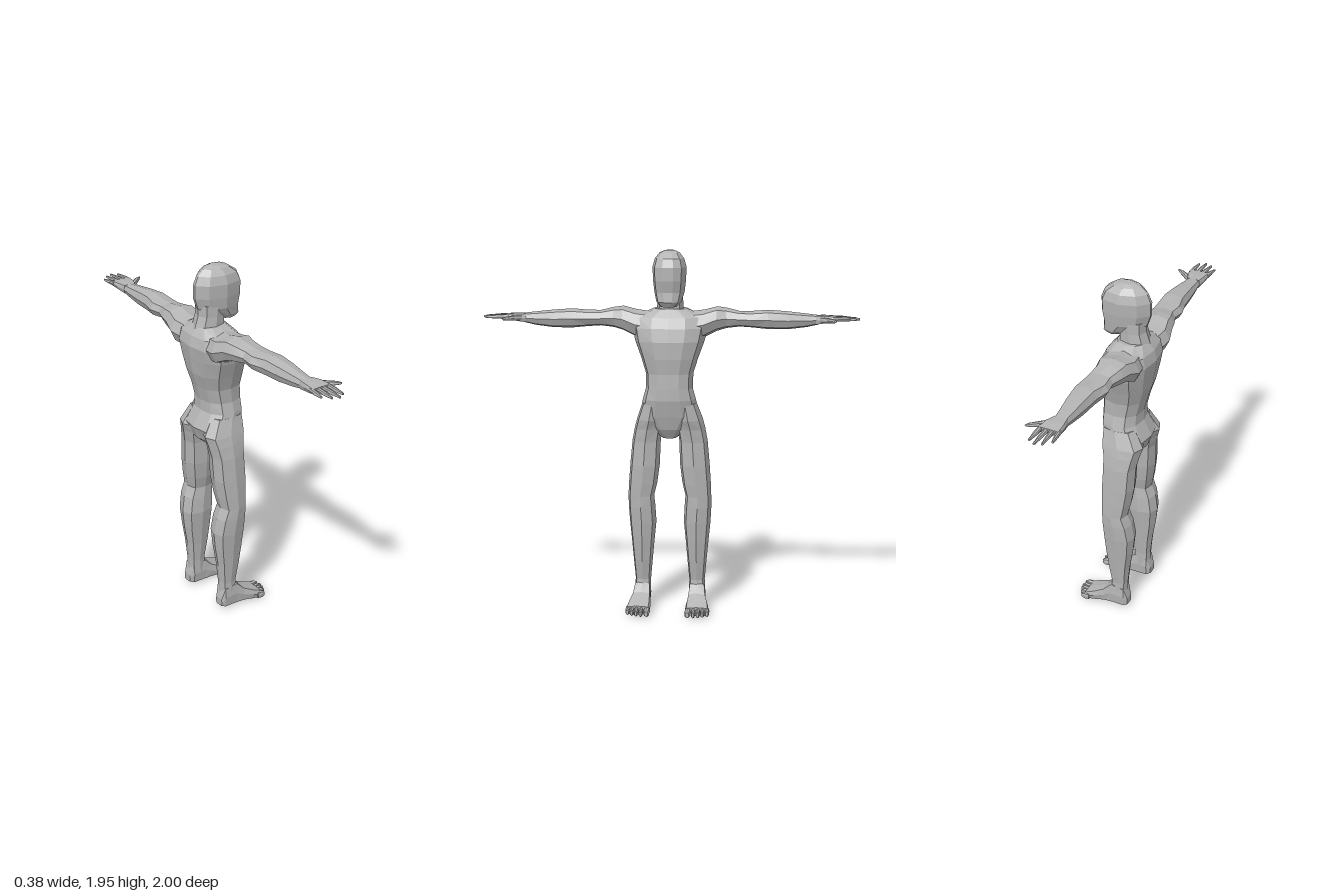
import * as THREE from 'three';

// Eight-sided outline in a unit box; smaller e gives squarer corners.
function outline(e) {
  const pts = [];
  const bend = (v) => (Math.abs(v) < 1e-6 ? 0 : Math.sign(v) * Math.abs(v) ** e);
  for (let i = 0; i < 8; i++) {
    const a = (i * Math.PI) / 4;
    pts.push([bend(Math.cos(a)), bend(Math.sin(a))]);
  }
  return pts;
}
const ROUND = outline(0.8);
const SQUARE = outline(0.4);
const TORSO = [[1, 0], [0.97, 0.45], [0.72, 0.85], [0.1, 1], [-0.5, 0.92], [-0.88, 0.55],
  [-1, 0], [-0.88, -0.55], [-0.5, -0.92], [0.1, -1], [0.72, -0.85], [0.97, -0.45]];
// Blunt at the face, pointed at the back of the skull
const HEAD = [[1, 0.32], [0.82, 0.78], [0.1, 1], [-0.6, 0.7], [-1, 0.1],
  [-1, -0.1], [-0.6, -0.7], [0.1, -1], [0.82, -0.78], [1, -0.32]];

// Maps (distance along the axis, u, v) to x, y, z.
const AXES = {
  x: (t, u, v) => [t, u, v],
  y: (t, u, v) => [u, t, v],
  z: (t, u, v) => [u, v, t],
};

// Skins rings of [t, uMin, uMax, vMin, vMax] and closes both ends.
function loft(axis, rings, shape = ROUND, side = 1) {
  const n = shape.length;
  const pos = [];
  let idx = [];
  for (const [t, u0, u1, v0, v1] of rings) {
    for (const [a, b] of shape) {
      const p = AXES[axis](t, (u0 + u1) / 2 + (a * (u1 - u0)) / 2, (v0 + v1) / 2 + (b * (v1 - v0)) / 2);
      pos.push(p[0], p[1], p[2] * side);
    }
  }
  for (let r = 0; r < rings.length - 1; r++) {
    for (let i = 0; i < n; i++) {
      const a = r * n + i;
      const b = r * n + ((i + 1) % n);
      idx.push(a, b, b + n, a, b + n, a + n);
    }
  }
  const last = (rings.length - 1) * n;
  for (let i = 1; i < n - 1; i++) {
    idx.push(0, i + 1, i, last, last + i, last + i + 1);
  }
  // Turn the faces outward if the enclosed volume is negative
  const P = (i) => new THREE.Vector3().fromArray(pos, i * 3);
  let volume = 0;
  for (let i = 0; i < idx.length; i += 3) {
    volume += P(idx[i]).dot(P(idx[i + 1]).cross(P(idx[i + 2])));
  }
  if (volume < 0) idx = idx.reverse();
  const geo = new THREE.BufferGeometry();
  geo.setAttribute('position', new THREE.Float32BufferAttribute(pos, 3));
  geo.setIndex(idx);
  geo.computeVertexNormals();
  return geo;
}

// Rings given by a half width, symmetric about z = 0
const even = (rings) => rings.map(([y, x0, x1, w]) => [y, x0, x1, -w, w]);

export function createModel() {
  const model = new THREE.Group();
  model.name = 'humanFigure';
  const skin = new THREE.MeshStandardMaterial({ color: 0xb4b4b4, flatShading: true });
  skin.name = 'plain grey';
  const add = (parent, name, geo) => {
    const mesh = new THREE.Mesh(geo, skin);
    mesh.name = name;
    parent.add(mesh);
  };

  add(model, 'torso', loft('y', even([
    [0.95, -0.08, 0.02, 0.04], [1.0, -0.14, 0.05, 0.1], [1.07, -0.165, 0.07, 0.16],
    [1.16, -0.12, 0.09, 0.142], [1.22, -0.12, 0.09, 0.125], [1.3, -0.14, 0.087, 0.127],
    [1.38, -0.165, 0.095, 0.152], [1.47, -0.18, 0.095, 0.185], [1.54, -0.19, 0.08, 0.2],
    [1.595, -0.175, 0.055, 0.19], [1.64, -0.14, 0.015, 0.09],
  ]), TORSO));

  add(model, 'neck', loft('y', even([
    [1.57, -0.175, 0.04, 0.1], [1.63, -0.15, 0.012, 0.072],
    [1.69, -0.13, 0.01, 0.068], [1.75, -0.13, 0.02, 0.068],
  ])));

  add(model, 'head', loft('y', even([
    [1.655, 0.0, 0.085, 0.042], [1.68, -0.06, 0.1, 0.066], [1.73, -0.135, 0.095, 0.08],
    [1.79, -0.155, 0.107, 0.087], [1.86, -0.155, 0.107, 0.09], [1.905, -0.135, 0.088, 0.077],
    [1.935, -0.1, 0.045, 0.053], [1.947, -0.06, 0.0, 0.025],
  ]), HEAD));

  for (const side of [1, -1]) {
    const label = side > 0 ? 'left' : 'right';

    // Arm stretched out sideways, with hand
    const arm = new THREE.Group();
    arm.name = label + 'Arm';
    model.add(arm);
    add(arm, 'armLimb', loft('z', [
      [0.08, -0.16, 0.05, 1.47, 1.62], [0.18, -0.178, 0.042, 1.485, 1.632],
      [0.25, -0.16, 0.028, 1.52, 1.65], [0.3, -0.15, 0.012, 1.535, 1.643],
      [0.37, -0.125, 0.015, 1.545, 1.627], [0.44, -0.135, 0.02, 1.54, 1.628],
      [0.52, -0.115, 0.02, 1.533, 1.635], [0.62, -0.105, 0.01, 1.533, 1.628],
      [0.72, -0.095, -0.005, 1.545, 1.617], [0.78, -0.09, -0.012, 1.558, 1.61],
    ], ROUND, side));
    add(arm, 'palm', loft('z', [
      [0.77, -0.09, -0.012, 1.558, 1.61], [0.82, -0.1, 0.008, 1.568, 1.61],
      [0.88, -0.104, 0.016, 1.576, 1.605],
    ], SQUARE, side));
    const fingers = [[-0.091, -0.103, 0.95], [-0.06, -0.068, 0.985], [-0.03, -0.032, 1.0], [0.003, 0.003, 0.98]];
    for (const [root, tip, end] of fingers) {
      const mid = (root + tip) / 2;
      add(arm, 'finger', loft('z', [
        [0.86, root - 0.013, root + 0.013, 1.58, 1.604],
        [(0.86 + end) / 2, mid - 0.011, mid + 0.011, 1.581, 1.603],
        [end, tip - 0.005, tip + 0.005, 1.585, 1.597],
      ], ROUND, side));
    }
    add(arm, 'thumb', loft('z', [
      [0.785, -0.05, -0.008, 1.57, 1.6], [0.83, -0.005, 0.04, 1.572, 1.6],
      [0.86, 0.04, 0.073, 1.576, 1.598], [0.875, 0.072, 0.085, 1.58, 1.592],
    ], ROUND, side));

    // Leg with foot
    const leg = new THREE.Group();
    leg.name = label + 'Leg';
    model.add(leg);
    add(leg, 'legLimb', loft('y', [
      [1.14, -0.11, 0.07, 0.03, 0.145], [1.05, -0.165, 0.07, 0.03, 0.177],
      [1.0, -0.15, 0.055, 0.04, 0.19], [0.93, -0.135, 0.047, 0.05, 0.203],
      [0.8, -0.13, 0.05, 0.055, 0.215], [0.7, -0.115, 0.045, 0.068, 0.222],
      [0.63, -0.1, 0.04, 0.085, 0.225], [0.57, -0.125, 0.04, 0.08, 0.225],
      [0.48, -0.14, 0.035, 0.075, 0.22], [0.38, -0.13, 0.025, 0.085, 0.21],
      [0.27, -0.112, 0.01, 0.095, 0.2], [0.16, -0.1, -0.01, 0.105, 0.19],
      [0.07, -0.1, 0.0, 0.105, 0.193],
    ], outline(0.7), side));
    add(leg, 'foot', loft('x', [
      [-0.11, 0.015, 0.06, 0.125, 0.18], [-0.09, 0.005, 0.13, 0.108, 0.193],
      [-0.015, 0.005, 0.145, 0.105, 0.195], [0.03, 0.01, 0.098, 0.1, 0.203],
      [0.08, 0.008, 0.073, 0.095, 0.217], [0.135, 0.003, 0.05, 0.095, 0.225],
    ], SQUARE, side));
    const toes = [[0.11, 0.016, 0.183], [0.141, 0.011, 0.187], [0.166, 0.011, 0.182], [0.19, 0.011, 0.172], [0.214, 0.012, 0.157]];
    for (const [z, w, tip] of toes) {
      add(leg, 'toe', loft('x', [
        [0.11, 0.005, 0.045, z - w, z + w],
        [tip - 0.02, 0, 0.046, z - w, z + w],
        [tip, 0.008, 0.034, z - w * 0.6, z + w * 0.6],
      ], ROUND, side));
    }
  }
  return model;
}
